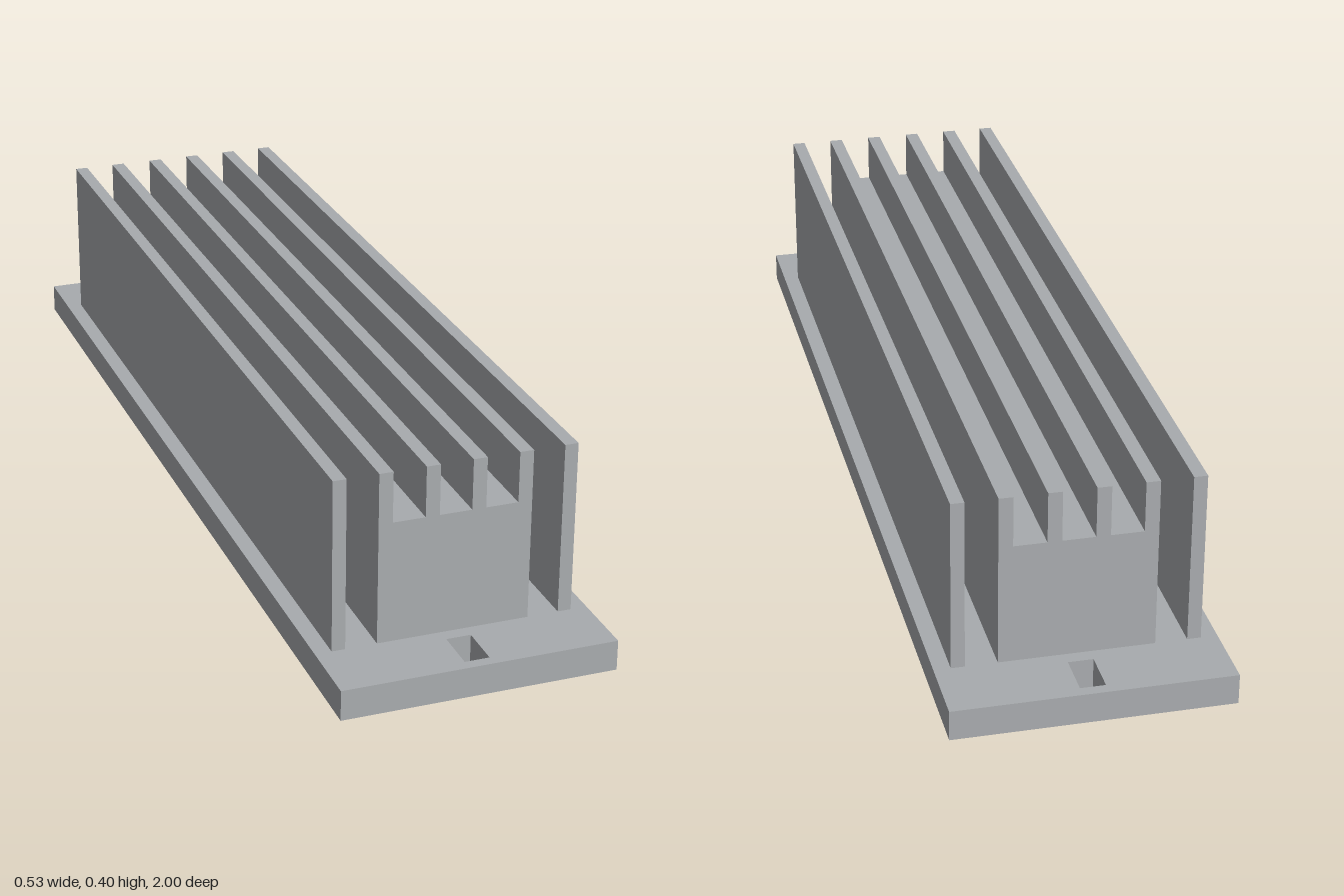
import * as THREE from 'three';

export function createModel() {
  const model = new THREE.Group();
  const metal = new THREE.MeshStandardMaterial({ color: 0xa8abae });
  metal.name = 'grey metal';

  const baseHeight = 0.06, top = 0.4, length = 1.73;

  const add = (name, geometry, parent = model) => {
    const mesh = new THREE.Mesh(geometry, metal);
    mesh.name = name;
    parent.add(mesh);
    return mesh;
  };
  // Closed rectangle, usable as an outline or a hole
  const rect = (Type, x0, y0, x1, y1) => new Type([
    new THREE.Vector2(x0, y0), new THREE.Vector2(x1, y0),
    new THREE.Vector2(x1, y1), new THREE.Vector2(x0, y1),
  ]);

  // Base plate with a mounting slot at each end
  const plate = rect(THREE.Shape, -0.267, -1, 0.267, 1);
  for (const side of [-1, 1]) {
    const z = side * 0.935;
    plate.holes.push(rect(THREE.Path, -0.024, z - 0.043, 0.024, z + 0.043));
  }
  const plateGeometry = new THREE.ExtrudeGeometry(plate, { depth: baseHeight, bevelEnabled: false });
  plateGeometry.rotateX(-Math.PI / 2);
  add('basePlate', plateGeometry);

  // Central block whose top is cut into four fins
  const halfBlock = 0.148, finWidth = 0.027, grooveFloor = 0.3, finCount = 4;
  const pitch = (2 * halfBlock - finWidth) / (finCount - 1);
  const profile = new THREE.Shape();
  profile.moveTo(halfBlock, baseHeight);
  for (let i = finCount - 1; i >= 0; i--) {
    const x = -halfBlock + i * pitch;
    if (i < finCount - 1) profile.lineTo(x + finWidth, grooveFloor);
    profile.lineTo(x + finWidth, top);
    profile.lineTo(x, top);
    if (i > 0) profile.lineTo(x, grooveFloor);
  }
  profile.lineTo(-halfBlock, baseHeight);
  profile.closePath();
  const blockGeometry = new THREE.ExtrudeGeometry(profile, { depth: length, bevelEnabled: false });
  blockGeometry.translate(0, 0, -length / 2);
  add('finnedBlock', blockGeometry);

  // Tall outer fins
  for (const [name, side] of [['leftOuterFin', 1], ['rightOuterFin', -1]]) {
    const fin = add(name, new THREE.BoxGeometry(0.026, top - baseHeight, length));
    fin.position.set(side * 0.222, (top + baseHeight) / 2, 0);
  }

  return model;
}
